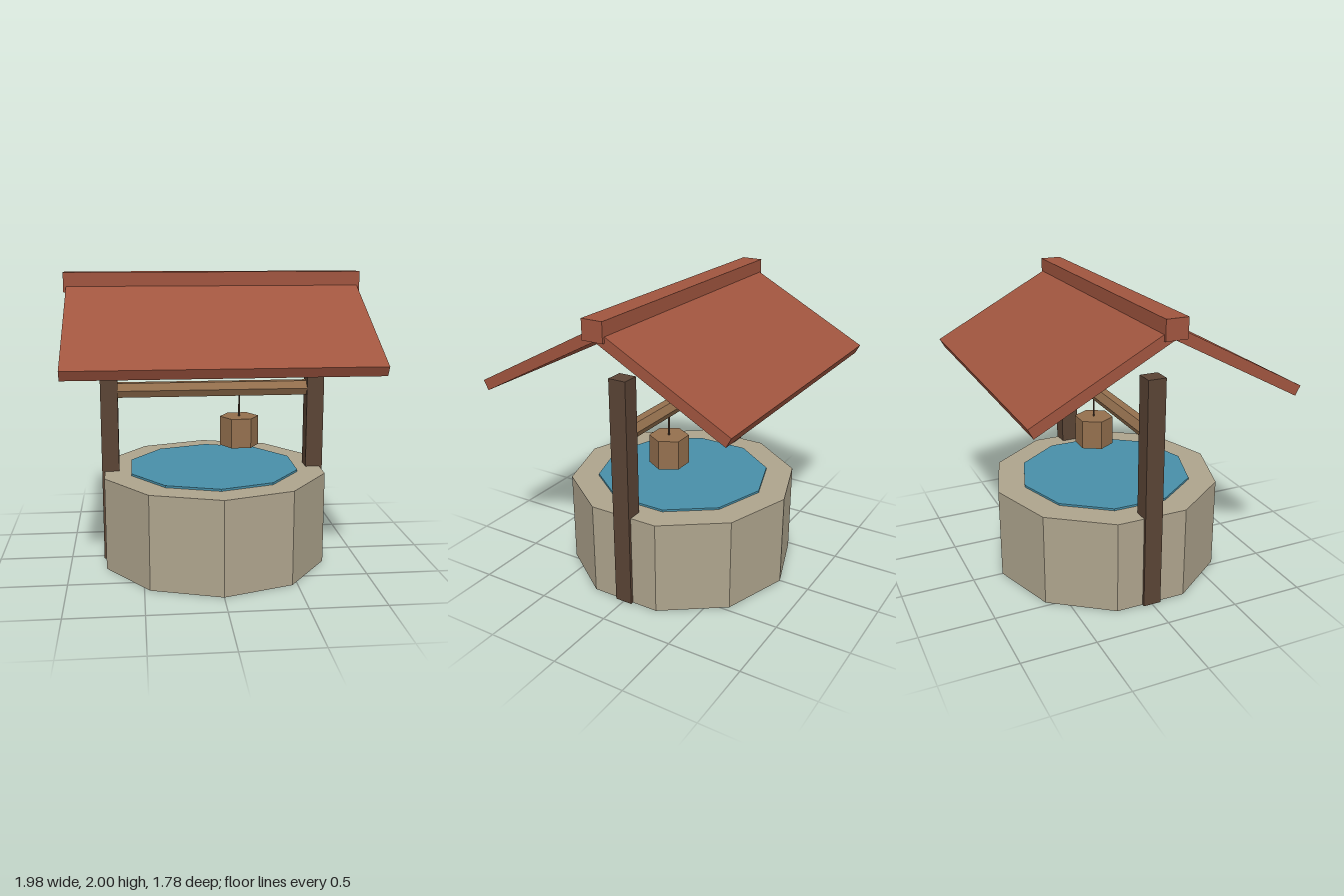
import * as THREE from 'three';

const material = (name, color) => {
  const m = new THREE.MeshStandardMaterial({ color, flatShading: true });
  m.name = name;
  return m;
};

export function createModel() {
  const stone = material('stone', 0xaea48d);
  const tile = material('roof red', 0xa0553f);
  const darkWood = material('dark wood', 0x5a4435);
  const lightWood = material('light wood', 0x94704e);
  const blue = material('water blue', 0x488fa8);

  const well = new THREE.Group();
  well.name = 'well';
  const add = (name, geometry, mat, x, y, z) => {
    const mesh = new THREE.Mesh(geometry, mat);
    mesh.name = name;
    mesh.position.set(x, y, z);
    well.add(mesh);
    return mesh;
  };

  // Ten-sided stone ring with the water just above its rim
  add('stoneWall', new THREE.CylinderGeometry(0.79, 0.79, 0.64, 10), stone, 0, 0.32, 0);
  add('water', new THREE.CylinderGeometry(0.6, 0.6, 0.04, 10), blue, 0, 0.634, 0);

  // Posts
  for (const side of [-1, 1]) {
    add(side > 0 ? 'leftPost' : 'rightPost',
      new THREE.BoxGeometry(0.118, 1.575, 0.122), darkWood, side * 0.713, 0.7875, 0);
  }

  // Six-sided winding beam between the posts
  const beam = add('beam', new THREE.CylinderGeometry(0.057, 0.057, 1.4, 6), lightWood, 0, 1.2, 0);
  beam.rotation.z = Math.PI / 2;

  // Rope and hanging bucket
  add('rope', new THREE.CylinderGeometry(0.007, 0.007, 0.2, 6), darkWood, 0.187, 1.08, 0);
  const bucket = add('bucket', new THREE.CylinderGeometry(0.135, 0.135, 0.205, 6), lightWood, 0.187, 0.9, 0);
  bucket.rotation.y = Math.PI / 2;

  // Two sloping roof slabs meeting under the ridge
  const slope = THREE.MathUtils.degToRad(28);
  for (const side of [-1, 1]) {
    const slab = add(side > 0 ? 'frontRoof' : 'backRoof',
      new THREE.BoxGeometry(1.948, 0.07, 0.973), tile, 0, 1.67, side * 0.446);
    slab.rotation.x = side * slope;
  }
  add('ridge', new THREE.BoxGeometry(1.984, 0.13, 0.146), tile, 0, 1.935, 0);

  return well;
}
